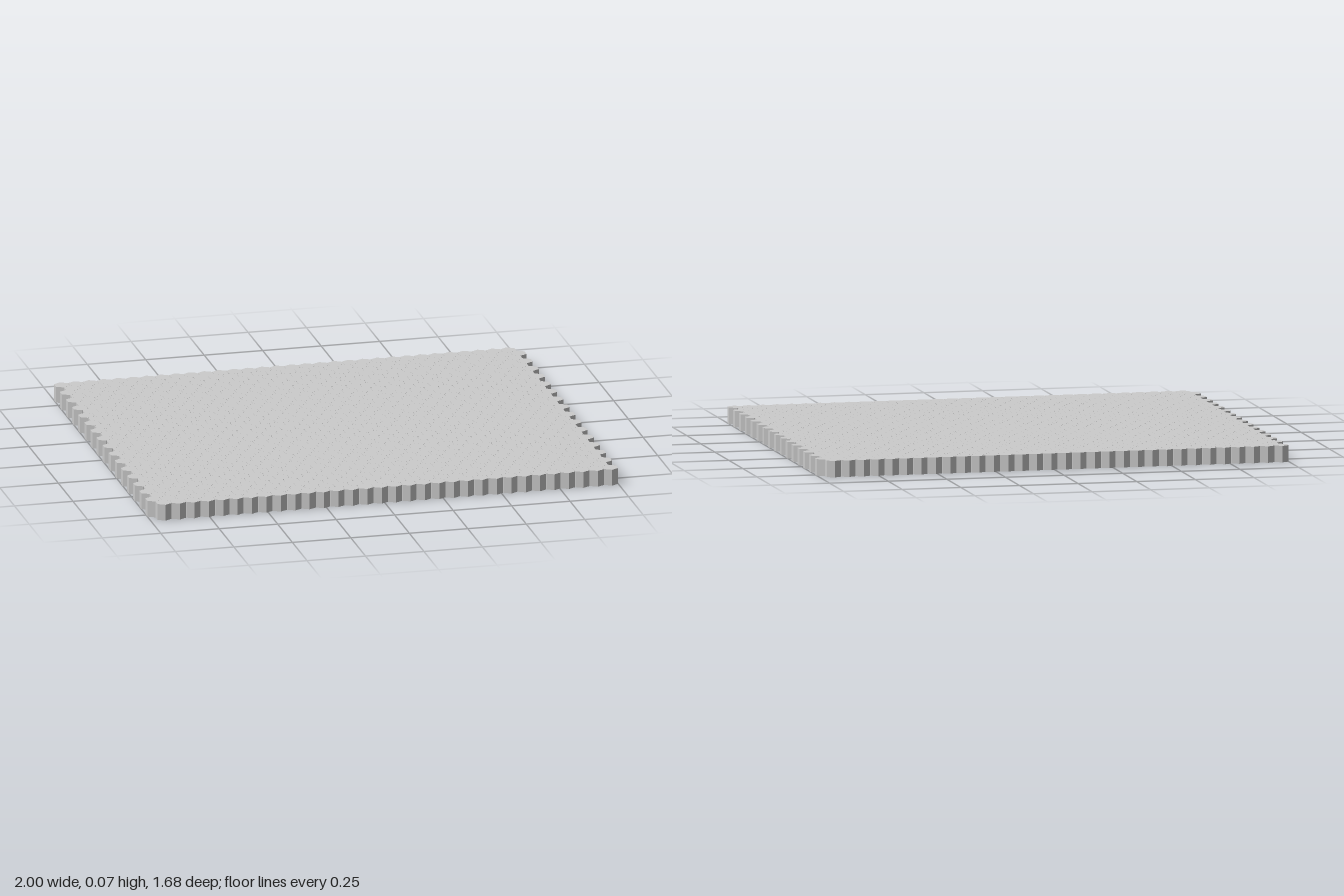
import * as THREE from 'three';
import { mergeGeometries } from 'three/addons/utils/BufferGeometryUtils.js';

const COLS = 32, ROWS = 32;
const RADIUS = 0.0347, HEIGHT = 0.069;
const TILE_WIDTH = RADIUS * Math.sqrt(3);
const PITCH_X = (2 - TILE_WIDTH) / (COLS - 0.5); // leaves a hairline gap between columns
const PITCH_Z = RADIUS * 1.5;

// One straight row of hexagonal prisms, points facing +z and -z, starting at x = 0
function rowGeometry() {
  const tiles = [];
  for (let c = 0; c < COLS; c++) {
    const tile = new THREE.CylinderGeometry(RADIUS, RADIUS, HEIGHT, 6);
    tiles.push(tile.translate(c * PITCH_X, HEIGHT / 2, 0));
  }
  return mergeGeometries(tiles);
}

export function createModel() {
  const model = new THREE.Group();
  model.name = 'hexagonTileFloor';
  const material = new THREE.MeshStandardMaterial({ color: 0xcccccc, flatShading: true });
  const geometry = rowGeometry();

  // Rows from back to front, every second one shifted half a tile to the left (+x)
  for (let r = 0; r < ROWS; r++) {
    const row = new THREE.Mesh(geometry, material);
    row.name = `tileRow${r + 1}`;
    row.position.x = -1 + TILE_WIDTH / 2 + (r % 2) * PITCH_X / 2;
    row.position.z = (r - (ROWS - 1) / 2) * PITCH_Z;
    model.add(row);
  }
  return model;
}
